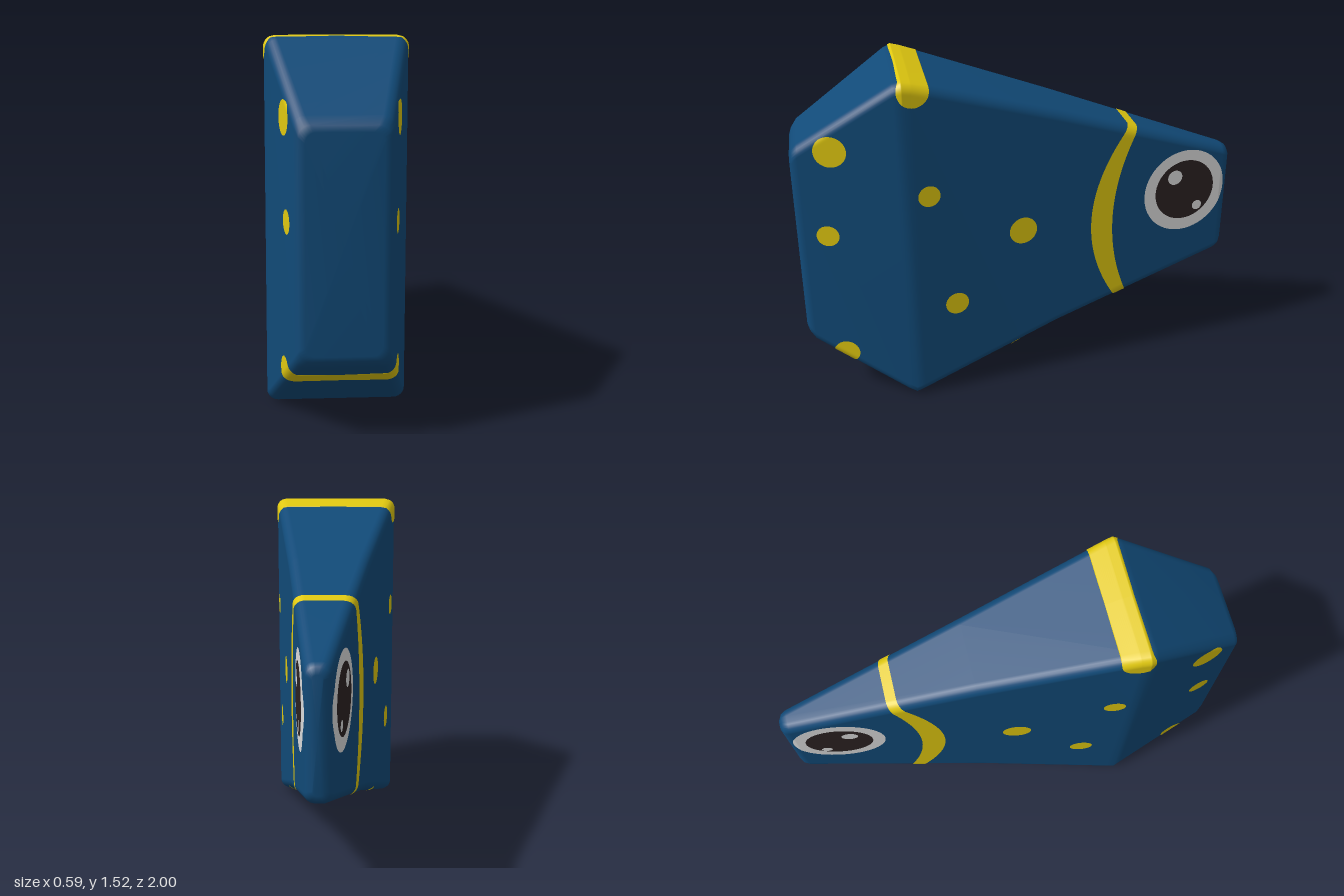
import * as THREE from 'three';

// Body stations from front to back: z, half width, bottom, top, corner radius
const STATIONS = [
  [1, 0.145, 0.34, 1.18, 0.04],
  [0.99, 0.17, 0.318, 1.205, 0.045],
  [0.965, 0.187, 0.285, 1.238, 0.045],
  [0.565, 0.28, 0.016, 1.506, 0.045],
  [0.53, 0.29, 0, 1.52, 0.045],
  [0.49, 0.283, 0.011, 1.512, 0.045],
  [-0.15, 0.178, 0.237, 1.308, 0.045],
  [-0.96, 0.056, 0.482, 1.032, 0.042],
  [-0.985, 0.046, 0.497, 1.018, 0.038],
  [-1, 0.022, 0.525, 0.99, 0.018],
];

const mat = (name, color) => Object.assign(new THREE.MeshStandardMaterial({ color }), { name });

// Interpolated rounded-rectangle section at z, grown outward by off
function sectionAt(z, off = 0) {
  let i = 0;
  while (i < STATIONS.length - 2 && z < STATIONS[i + 1][0]) i++;
  const a = STATIONS[i], b = STATIONS[i + 1];
  const t = THREE.MathUtils.clamp((z - a[0]) / (b[0] - a[0]), 0, 1);
  const [w, y0, y1, r] = [1, 2, 3, 4].map((k) => a[k] + (b[k] - a[k]) * t);
  return { w: w + off, y0: y0 - off, y1: y1 + off, r: r + off };
}

// Half width of a section at height y, following the rounded corners
function halfWidth(s, y) {
  const d = Math.max(0, Math.min(y - s.y0, s.y1 - y));
  return d >= s.r ? s.w : s.w - s.r + Math.sqrt(s.r * s.r - (s.r - d) ** 2);
}

function makeGeometry(pos, idx) {
  const g = new THREE.BufferGeometry();
  g.setAttribute('position', new THREE.Float32BufferAttribute(pos, 3));
  g.setIndex(idx);
  g.computeVertexNormals();
  return g;
}

// Solid body lofted through the stations, with flat end caps
function bodyGeometry() {
  const pos = [], idx = [], seg = 6, n = 4 * (seg + 1);
  for (const [z, w, y0, y1, r] of STATIONS) {
    for (let q = 0; q < 4; q++) {
      const cx = (q === 0 || q === 3 ? 1 : -1) * (w - r);
      const cy = q < 2 ? y1 - r : y0 + r;
      for (let k = 0; k <= seg; k++) {
        const a = (q + k / seg) * Math.PI / 2;
        pos.push(cx + r * Math.cos(a), cy + r * Math.sin(a), z);
      }
    }
  }
  const last = STATIONS.length - 1;
  for (let i = 0; i < last; i++) {
    for (let j = 0; j < n; j++) {
      const k = (j + 1) % n, a = i * n + j, b = i * n + k;
      idx.push(a, a + n, b, b, a + n, b + n);
    }
  }
  const c = pos.length / 3;
  pos.push(0, 0.76, 1, 0, 0.757, -1);
  for (let j = 0; j < n; j++) {
    const k = (j + 1) % n;
    idx.push(c, j, k, c + 1, last * n + k, last * n + j);
  }
  return makeGeometry(pos, idx);
}

// Thin skin from a grid of points (columns by z, rows by y), mirrored to both sides
function skinGeometry(cols) {
  const pos = [], idx = [], rows = cols[0].length;
  for (const side of [1, -1]) {
    const base = pos.length / 3;
    for (const col of cols) for (const [x, y, z] of col) pos.push(side * x, y, z);
    for (let i = 0; i < cols.length - 1; i++) {
      for (let j = 0; j < rows - 1; j++) {
        const a = base + i * rows + j, b = a + 1, c = a + rows, d = c + 1;
        if (side > 0) idx.push(a, b, c, b, d, c);
        else idx.push(a, c, b, b, c, d);
      }
    }
  }
  return makeGeometry(pos, idx);
}

// Round marking on both flanks; it runs across the back or belly where it meets them
function discGeometry(cz, cy, r, off) {
  const zs = STATIONS.map((s) => s[0]).filter((z) => Math.abs(z - cz) < r);
  for (let i = 0; i <= 28; i++) zs.push(cz - r * Math.cos(Math.PI * i / 28));
  zs.sort((a, b) => a - b);
  const cols = zs.map((z) => {
    const s = sectionAt(z, off);
    const h = Math.sqrt(Math.max(0, r * r - (z - cz) ** 2));
    const lo = THREE.MathUtils.clamp(cy - h, s.y0, s.y1);
    const hi = THREE.MathUtils.clamp(cy + h, s.y0, s.y1);
    const col = [];
    for (let j = 0; j <= 16; j++) {
      const y = lo + (hi - lo) * j / 16;
      col.push([halfWidth(s, y), y, z]);
    }
    col.unshift([lo <= s.y0 ? 0 : col[0][0], lo, z]);
    col.push([hi >= s.y1 ? 0 : col[col.length - 1][0], hi, z]);
    return col;
  });
  return skinGeometry(cols);
}

// Curved band that rings the whole body
function bandGeometry(off) {
  const cols = [], rows = 48;
  for (let i = 0; i <= 4; i++) {
    const col = [];
    for (let j = 0; j <= rows; j++) {
      const f = (1 - Math.cos(Math.PI * j / rows)) / 2;
      let z = -0.45, y = 0, s;
      for (let k = 0; k < 10; k++) {
        s = sectionAt(z, off);
        y = s.y0 + (s.y1 - s.y0) * f;
        const d = (y - 0.74) ** 2;
        z = THREE.MathUtils.lerp(-0.415 - 0.55 * d, -0.31 - 0.8 * d, i / 4);
      }
      s = sectionAt(z, off);
      col.push([halfWidth(s, y), y, z]);
    }
    col.unshift([0, col[0][1], col[0][2]]);
    const top = col[col.length - 1];
    col.push([0, top[1], top[2]]);
    cols.push(col);
  }
  return skinGeometry(cols);
}

export function createModel() {
  const blue = mat('body blue', 0x114a78);
  const yellow = mat('marking yellow', 0xe0c810);
  const white = mat('eye white', 0xdcdcdc);
  const dark = mat('pupil dark', 0x2c2222);

  const model = new THREE.Group();
  model.name = 'fishBody';
  const add = (name, geometry, material) => {
    const mesh = new THREE.Mesh(geometry, material);
    mesh.name = name;
    model.add(mesh);
  };

  add('body', bodyGeometry(), blue);
  add('gillBand', bandGeometry(0.003), yellow);

  // Spots: z, y, radius
  const spots = [
    [0.485, 1.478, 0.068], [0.833, 1.22, 0.068], [0.435, 1.008, 0.048], [0.87, 0.83, 0.048],
    [0.016, 0.768, 0.064], [0.328, 0.457, 0.053], [0.833, 0.235, 0.057], [0.035, 0.137, 0.05],
  ];
  spots.forEach(([z, y, r], i) => add(`spot${i + 1}`, discGeometry(z, y, r, 0.003), yellow));

  // Eyes, layered outward
  add('eyeWhites', discGeometry(-0.774, 0.837, 0.203, 0.003), white);
  add('pupils', discGeometry(-0.774, 0.842, 0.148, 0.006), dark);
  add('largeGlints', discGeometry(-0.72, 0.912, 0.036, 0.009), white);
  add('smallGlints', discGeometry(-0.843, 0.753, 0.024, 0.009), white);
  return model;
}
